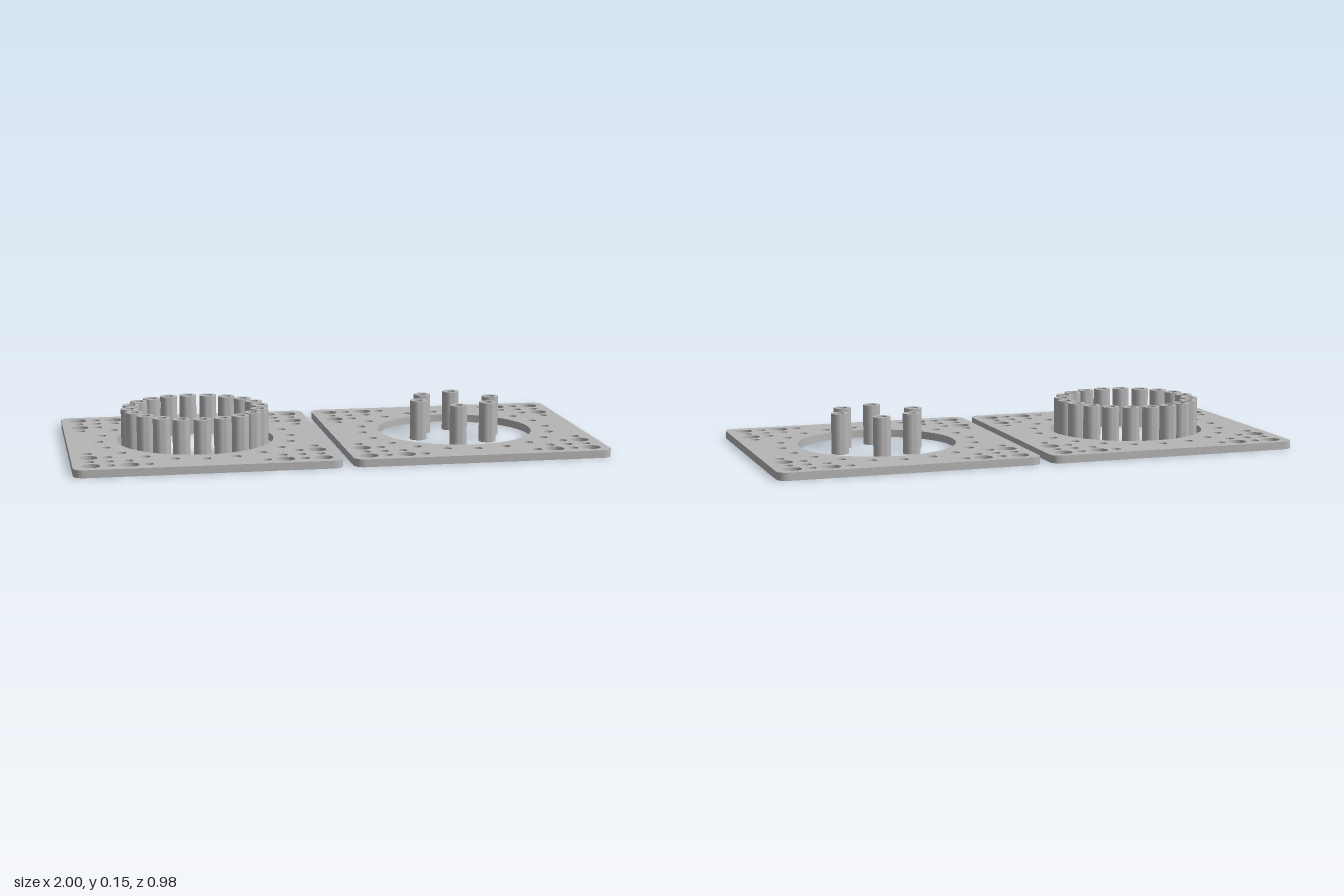
import * as THREE from 'three';
import { toCreasedNormals } from 'three/addons/utils/BufferGeometryUtils.js';

const PLATE_HALF = 0.49, PLATE_X = 0.51, PLATE_H = 0.029, TUBE_H = 0.153;

// Extrude a flat shape upward from y = 0, smooth round walls and sharp rims
function extrudeUp(shape, height, curveSegments) {
  const geo = new THREE.ExtrudeGeometry(shape, { depth: height, bevelEnabled: false, curveSegments });
  geo.rotateX(-Math.PI / 2);
  return toCreasedNormals(geo, 0.6);
}

function addHole(shape, x, y, r) {
  shape.holes.push(new THREE.Path().absarc(x, y, r, 0, Math.PI * 2, true));
}

// Square plate with rounded corners, a large opening and mounting holes
function plateGeometry() {
  const s = new THREE.Shape(), r = 0.04, c = PLATE_HALF - r;
  s.absarc(c, c, r, 0, Math.PI / 2);
  s.absarc(-c, c, r, Math.PI / 2, Math.PI);
  s.absarc(-c, -c, r, Math.PI, Math.PI * 1.5);
  s.absarc(c, -c, r, Math.PI * 1.5, Math.PI * 2);
  s.closePath();

  addHole(s, 0, 0, 0.3);

  // ring of small holes around the opening
  for (let i = 0; i < 20; i++) {
    const a = (i / 20) * Math.PI * 2;
    addHole(s, 0.368 * Math.cos(a), 0.368 * Math.sin(a), 0.018);
  }

  // hole cluster mirrored into the four corners
  const A = 0.425, B = 0.355, C = 0.284, D = 0.215;
  const large = [[A, A], [A, C], [C, A]];
  const small = [[A, B], [B, A], [B, B], [B, C], [C, B], [A, D], [D, A]];
  for (const sx of [-1, 1]) for (const sy of [-1, 1]) {
    for (const [x, y] of large) addHole(s, sx * x, sy * y, 0.034);
    for (const [x, y] of small) addHole(s, sx * x, sy * y, 0.018);
  }
  return extrudeUp(s, PLATE_H, 20);
}

function tubeGeometry() {
  const s = new THREE.Shape().absarc(0, 0, 0.033, 0, Math.PI * 2);
  addHole(s, 0, 0, 0.018);
  return extrudeUp(s, TUBE_H, 16);
}

export function createModel() {
  const model = new THREE.Group();
  model.name = 'spacerPlates';
  const grey = new THREE.MeshStandardMaterial({ color: 0xb6b6b6 });
  grey.name = 'lightGrey';

  const plateGeo = plateGeometry(), tubeGeo = tubeGeometry();

  // the two plates
  for (const side of [-1, 1]) {
    const plate = new THREE.Mesh(plateGeo, grey);
    plate.name = side < 0 ? 'rightPlate' : 'leftPlate';
    plate.position.x = side * PLATE_X;
    model.add(plate);
  }

  // tubes standing on a circle inside an opening
  function addTubes(name, centreX, radius, angles) {
    const group = new THREE.Group();
    group.name = name;
    group.position.x = centreX;
    angles.forEach((deg, i) => {
      const a = THREE.MathUtils.degToRad(deg);
      const tube = new THREE.Mesh(tubeGeo, grey);
      tube.name = `spacerTube${i + 1}`;
      tube.position.set(radius * Math.cos(a), 0, radius * Math.sin(a));
      group.add(tube);
    });
    model.add(group);
  }
  addTubes('tubeRing', -PLATE_X, 0.25, Array.from({ length: 20 }, (_, i) => i * 18));
  addTubes('tubeCluster', PLATE_X, 0.15, [-82, -8, 45, 98, 172, 225]);

  return model;
}
